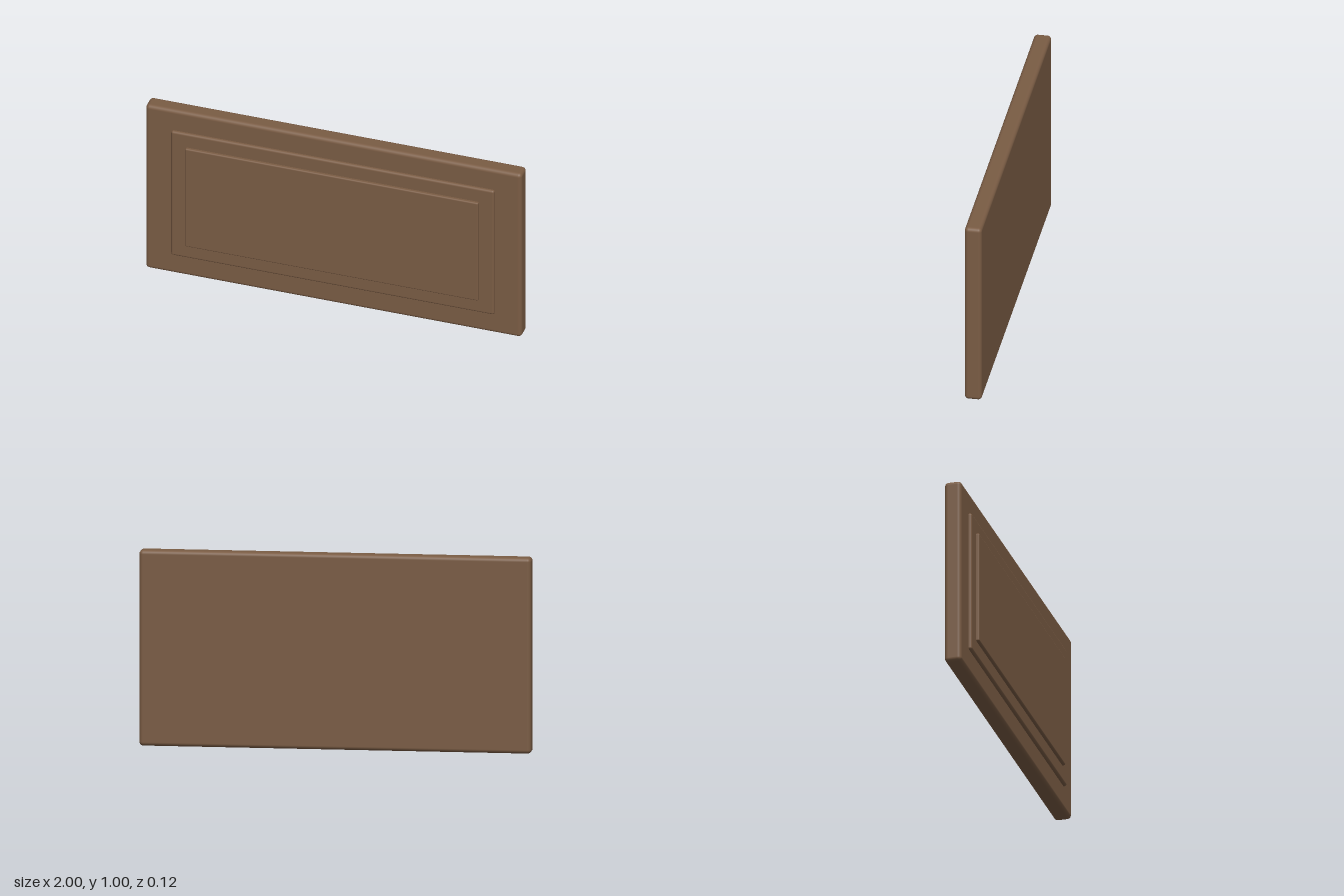
import * as THREE from 'three';
import { RoundedBoxGeometry } from 'three/addons/geometries/RoundedBoxGeometry.js';

export function createModel() {
  const group = new THREE.Group();
  group.name = 'raisedPanel';
  const wood = new THREE.MeshStandardMaterial({ color: 0x7a5c44 });

  // Rounded slab centred on the panel, spanning zBack to zFront
  const addSlab = (name, width, height, zBack, zFront, radius) => {
    const depth = zFront - zBack;
    const mesh = new THREE.Mesh(new RoundedBoxGeometry(width, height, depth, 4, radius), wood);
    mesh.name = name;
    mesh.position.set(0, 0.5, (zBack + zFront) / 2);
    group.add(mesh);
  };

  addSlab('basePanel', 2, 1, -0.06, 0.028, 0.02);
  // Two raised steps, each sunk into the slab behind it
  addSlab('raisedBorder', 1.72, 0.76, 0.004, 0.044, 0.012);
  addSlab('raisedCentre', 1.56, 0.6, 0.03, 0.06, 0.008);

  return group;
}
